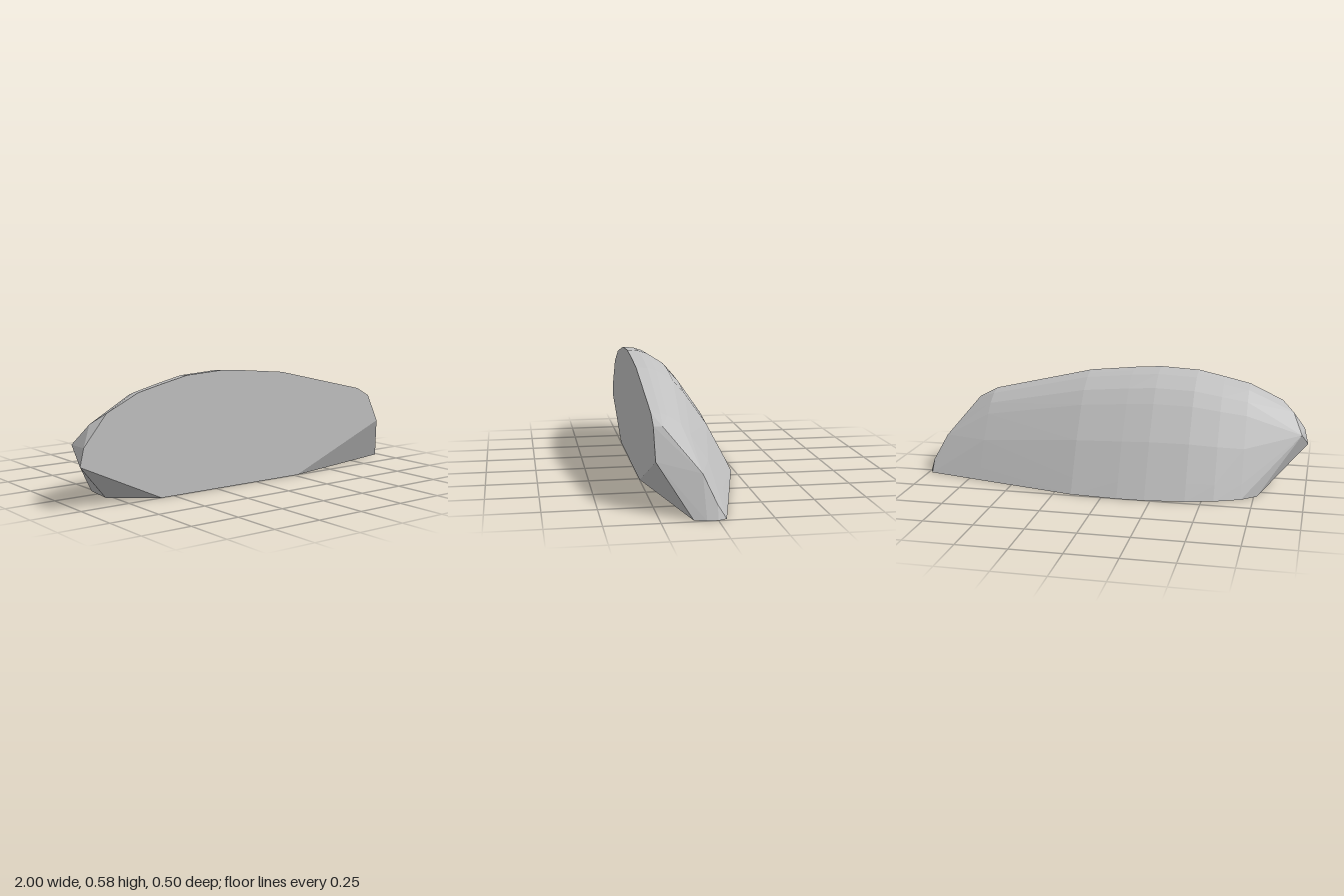
import * as THREE from 'three';
import { ConvexGeometry } from 'three/addons/geometries/ConvexGeometry.js';

const FRONT = 0.25;

// Rounded back profile: [share of depth, share of height]
const PROFILE = [[1, 0], [0.92, 0.14], [0.73, 0.457], [0.5, 0.75], [0.38, 0.87], [0.21, 0.965], [0.12, 0.99], [0, 1]];

// Cross-sections along the rock: [x, back z at the ground, top y at the front]
const SECTIONS = [
  [0.69, -0.11, 0.42], [0.16, -0.235, 0.545], [-0.08, -0.252, 0.57], [-0.22, -0.25, 0.58],
  [-0.42, -0.225, 0.57], [-0.56, -0.19, 0.54], [-0.69, -0.135, 0.51],
];

// Steep end on the left side, with its cut lower corner
const LEFT_END = [
  [0.77, 0.375, 0.25], [0.78, 0.375, 0.21], [0.84, 0.29, 0.13], [0.92, 0.19, 0.055],
  [0.98, 0.065, 0], [0.98, 0, -0.04], [1, 0, 0], [1, 0, 0.05], [0.98, 0, 0.105],
  [0.84, 0.23, 0.25], [0.27, 0, 0.25],
];

// Pointed end on the right side, undercut towards the ground
const RIGHT_END = [
  [-0.86, 0.43, 0.25], [-0.92, 0.38, 0.2], [-0.98, 0.285, 0.25], [-0.97, 0.28, 0.12],
  [-1, 0.2, 0.25], [-0.78, 0, 0.09], [-0.765, 0, -0.07], [-0.57, 0, 0.25],
];

export function createModel() {
  const stone = new THREE.MeshStandardMaterial({ color: 0xc0c0c0 });
  stone.name = 'stone grey';

  const points = [...LEFT_END, ...RIGHT_END].map((p) => new THREE.Vector3(...p));
  for (const [x, back, top] of SECTIONS) {
    for (const [depth, height] of PROFILE) {
      points.push(new THREE.Vector3(x, top * height, FRONT + (back - FRONT) * depth));
    }
  }

  // Flat-faceted hull with a sheer front and a level base
  const rock = new THREE.Mesh(new ConvexGeometry(points), stone);
  rock.name = 'rock';

  const model = new THREE.Group();
  model.name = 'cliffRock';
  model.add(rock);
  return model;
}
